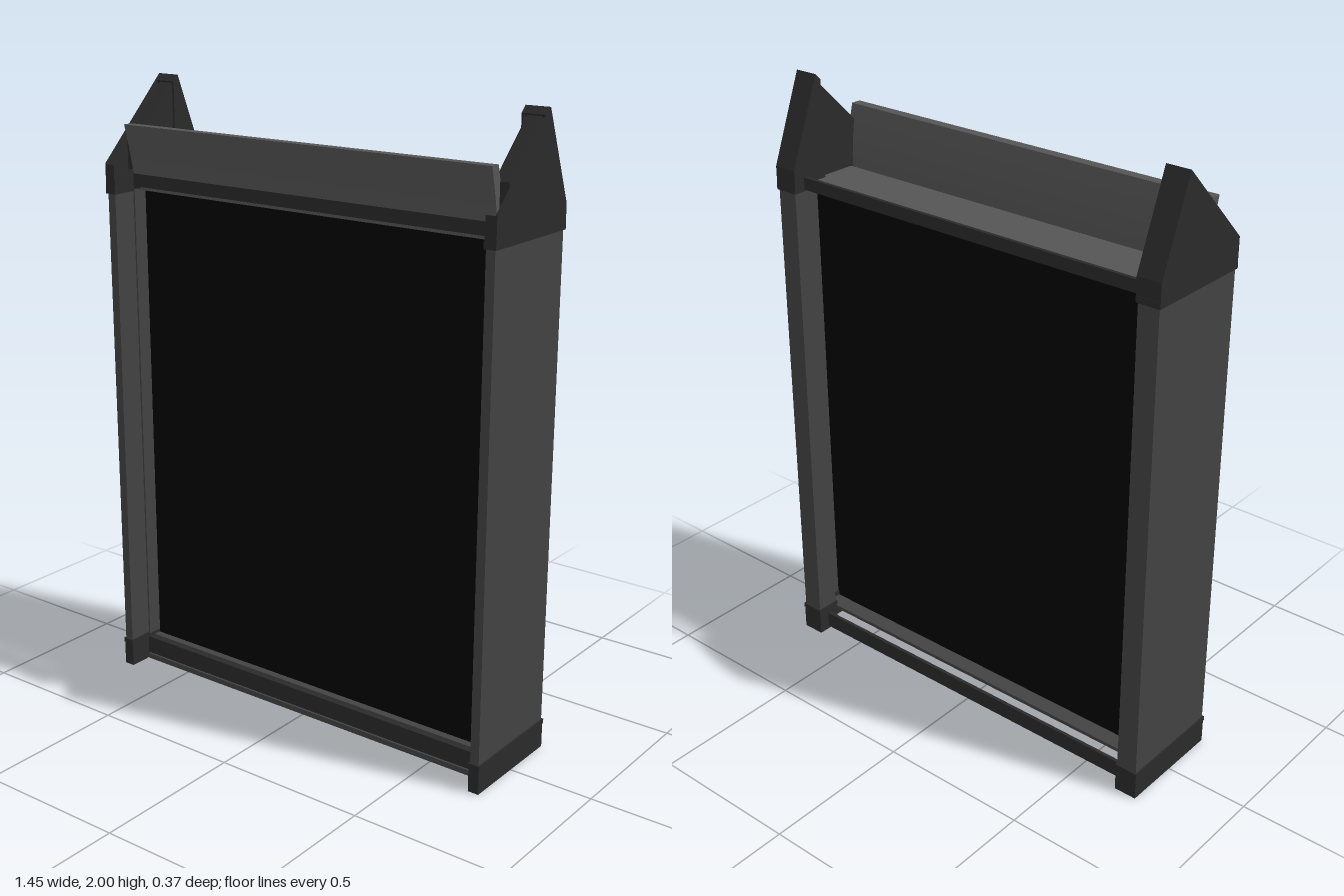
import * as THREE from 'three';

const mat = (c) => new THREE.MeshStandardMaterial({ color: c, side: THREE.DoubleSide });

export function createModel() {
  const root = new THREE.Group();
  const frame = mat(0x424242), plastic = mat(0x2a2a2a), black = mat(0x020202), light = mat(0x545454);

  const add = (name, geo, material) => {
    const m = new THREE.Mesh(geo, material);
    m.name = name;
    root.add(m);
  };
  // Box given by its extents
  const box = (name, x0, x1, y0, y1, z0, z1, material) => {
    const g = new THREE.BoxGeometry(Math.abs(x1 - x0), y1 - y0, z1 - z0);
    g.translate((x0 + x1) / 2, (y0 + y1) / 2, (z0 + z1) / 2);
    add(name, g, material);
  };
  const shapeOf = (pts) => new THREE.Shape(pts.map(([a, b]) => new THREE.Vector2(a, b)));
  // Profile in (z, y), extruded across x
  const across = (name, pts, x0, x1, material) => {
    const g = new THREE.ExtrudeGeometry(shapeOf(pts.map(([z, y]) => [-z, y])),
      { depth: Math.abs(x1 - x0), bevelEnabled: false });
    g.rotateY(Math.PI / 2);
    g.translate(Math.min(x0, x1), 0, 0);
    add(name, g, material);
  };
  // L-shaped plan grown by d, in (x, -z)
  const plan = (s, d) => [
    [0.72 + d, 0.182 + d], [0.69 - d, 0.182 + d], [0.69 - d, -0.105 + d],
    [0.65 - d, -0.105 + d], [0.65 - d, -0.182 - d], [0.72 + d, -0.182 - d],
  ].map(([x, z]) => [s * x, -z]);
  // Hollow tube with the L-shaped plan
  const tube = (name, s, d, t, y0, y1, material) => {
    const shape = shapeOf(plan(s, d));
    shape.holes.push(shapeOf(plan(s, d - t)));
    const g = new THREE.ExtrudeGeometry(shape, { depth: y1 - y0, bevelEnabled: false });
    g.rotateX(-Math.PI / 2);
    g.translate(0, y0, 0);
    add(name, g, material);
  };

  for (const s of [1, -1]) {
    const side = s > 0 ? 'left' : 'right';
    tube(side + 'Post', s, 0, 0.003, 0.03, 1.66, frame);
    // Foot with a slightly wider rim
    tube(side + 'Foot', s, 0.003, 0.005, 0, 0.08, plastic);
    tube(side + 'FootRim', s, 0.005, 0.006, 0.08, 0.095, plastic);
    // Collar and hollow peaked cap, open along its front slope
    tube(side + 'Collar', s, 0.005, 0.006, 1.645, 1.665, plastic);
    tube(side + 'CapBase', s, 0.003, 0.005, 1.665, 1.715, plastic);
    across(side + 'CapWall', [[0.186, 1.665], [0.186, 1.74], [-0.075, 2], [-0.186, 1.72], [-0.186, 1.665]],
      s * 0.72, s * 0.725, plastic);
    across(side + 'CapBack', [[-0.186, 1.665], [-0.186, 1.72], [-0.075, 2], [-0.055, 1.98], [-0.07, 1.965],
      [-0.176, 1.715], [-0.176, 1.665]], s * 0.645, s * 0.72, plastic);
    across(side + 'CapInnerWall', [[-0.18, 1.665], [-0.18, 1.72], [-0.072, 1.99], [-0.055, 1.98], [-0.055, 1.665]],
      s * 0.645, s * 0.652, plastic);
    box(side + 'CapFront', s * 0.688, s * 0.722, 1.665, 1.738, 0.181, 0.186, plastic);
    across(side + 'CapBracket', [[0.1, 1.655], [0.1, 1.815], [-0.065, 1.98], [-0.105, 1.88], [-0.105, 1.655]],
      s * 0.66, s * 0.708, plastic);
    // Inner mounting strip for the front panel
    box(side + 'PanelStrip', s * 0.684, s * 0.692, 0.09, 1.65, 0.05, 0.1, frame);
  }

  // Front and back display panels, set back between the posts
  box('frontPanel', -0.69, 0.69, 0.075, 1.66, 0.04, 0.05, black);
  box('backPanel', -0.69, 0.69, 0.075, 1.66, -0.05, -0.04, black);

  // Cross rails
  box('topBackRail', -0.655, 0.655, 1.65, 1.69, -0.146, -0.134, plastic);
  box('bottomBackRail', -0.655, 0.655, 0.01, 0.065, -0.146, -0.134, plastic);
  box('topFrontRail', -0.68, 0.68, 1.662, 1.705, 0.096, 0.108, plastic);
  box('bottomFrontRail', -0.69, 0.69, 0.02, 0.08, 0.085, 0.105, plastic);
  box('bottomFrontLip', -0.68, 0.68, 0.002, 0.02, 0.085, 0.112, frame);

  // Shelves closing the cabinet above and below the panels
  box('topShelf', -0.66, 0.66, 1.655, 1.667, -0.105, 0.075, light);
  box('bottomShelf', -0.69, 0.69, 0.066, 0.078, -0.105, 0.075, frame);

  // Header board leaning forward, slightly curved
  across('headerBoard', [[0.084, 1.65], [0.085, 1.7], [0.088, 1.75], [0.097, 1.81], [0.11, 1.862],
    [0.143, 1.862], [0.13, 1.81], [0.116, 1.75], [0.108, 1.703], [0.096, 1.7], [0.096, 1.65]],
    -0.678, 0.678, light);

  return root;
}
